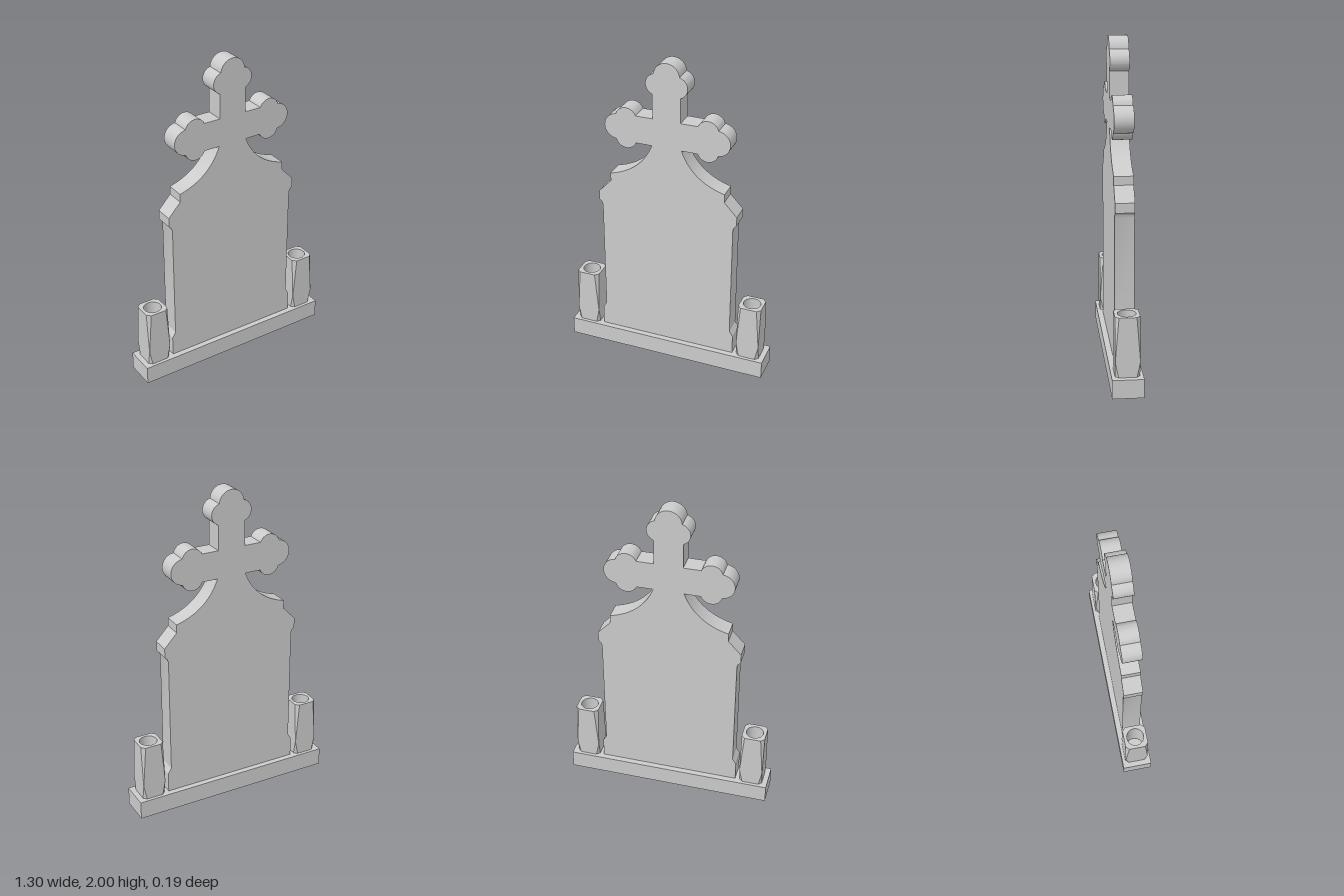
import * as THREE from 'three';
import { toCreasedNormals } from 'three/addons/utils/BufferGeometryUtils.js';

const BASE_H = 0.115;
const stone = new THREE.MeshStandardMaterial({ color: 0xcccccc });
const stoneInside = new THREE.MeshStandardMaterial({ color: 0xcccccc, side: THREE.BackSide });

function part(name, geometry, parent, material = stone) {
  const mesh = new THREE.Mesh(geometry, material);
  mesh.name = name;
  parent.add(mesh);
  return mesh;
}

// Points of an arc from angle a to angle b
function arc(cx, cy, r, a, b, n = 18) {
  return Array.from({ length: n + 1 }, (_, i) => {
    const t = a + (b - a) * i / n;
    return new THREE.Vector2(cx + r * Math.cos(t), cy + r * Math.sin(t));
  });
}

// Three-lobed end of a cross arm, pointing along +x, turned and moved to the crossing
function trefoil(along, turn) {
  const root = Math.atan2(0.024, -0.0615), join = Math.atan2(0.0167, 0.064);
  const tip = Math.atan2(0.0797, 0.007);
  return [
    ...arc(along, -0.063, 0.066, -root, -join),
    ...arc(along + 0.057, 0, 0.08, -tip, tip).slice(1, -1),
    ...arc(along, 0.063, 0.066, join, root),
  ].map(p => p.rotateAround(new THREE.Vector2(), turn).add(new THREE.Vector2(0, 1.56)));
}

// Outline of the stone: right edge, three arms, mirrored left edge
function slabGeometry() {
  const V = (x, y) => new THREE.Vector2(x, y);
  const right = [
    V(0.443, BASE_H), V(0.443, 0.24), V(0.421, 0.275), V(0.421, 1.01),
    V(0.428, 1.03), V(0.443, 1.045), V(0.443, 1.103), V(0.363, 1.188),
    ...new THREE.CubicBezierCurve(V(0.363, 1.24), V(0.22, 1.275), V(0.135, 1.36), V(0.093, 1.473)).getPoints(20),
  ];
  const left = right.map(p => V(-p.x, p.y)).reverse();
  const outline = [
    ...right, ...trefoil(0.254, 0), V(0.087, 1.647),
    ...trefoil(0.303, Math.PI / 2), V(-0.087, 1.647),
    ...trefoil(0.254, Math.PI), ...left,
  ];
  const geo = new THREE.ExtrudeGeometry(new THREE.Shape(outline), { depth: 0.115, bevelEnabled: false });
  geo.translate(0, 0, -0.0575);
  return toCreasedNormals(geo, 0.4);
}

// Square with cut corners, as eight points
function cutSquare(h, c) {
  const k = h - c;
  return [[h, -k], [h, k], [k, h], [-k, h], [-h, k], [-h, -k], [-k, -h], [k, -h]];
}

// Square vase whose corner cuts taper to a point low on the body
function vase() {
  const group = new THREE.Group(), H = 0.073, top = 0.48, R = 0.054, depth = 0.25;
  const rings = [[BASE_H, 0.02], [0.21, 0.0005], [top, 0.022]];
  const pos = [], idx = [];
  for (const [y, c] of rings) for (const [x, z] of cutSquare(H, c)) pos.push(x, y, z);
  for (let r = 0; r < rings.length - 1; r++) {
    for (let i = 0; i < 8; i++) {
      const a = r * 8 + i, b = r * 8 + (i + 1) % 8;
      idx.push(a, a + 8, b, b, a + 8, b + 8);
    }
  }
  let body = new THREE.BufferGeometry();
  body.setAttribute('position', new THREE.Float32BufferAttribute(pos, 3));
  body.setIndex(idx);
  body = body.toNonIndexed();
  body.computeVertexNormals();
  part('vaseBody', body, group);

  // Rim with a round opening, and the bore below it
  const rim = new THREE.Shape(cutSquare(H, 0.022).map(([x, y]) => new THREE.Vector2(x, y)));
  rim.holes.push(new THREE.Path().absarc(0, 0, R, 0, Math.PI * 2, true));
  part('vaseRim', new THREE.ShapeGeometry(rim, 16).rotateX(-Math.PI / 2), group).position.y = top;
  part('vaseBore', new THREE.CylinderGeometry(R, R, depth, 32, 1, true), group, stoneInside).position.y = top - depth / 2;
  part('vaseFloor', new THREE.CircleGeometry(R, 32).rotateX(-Math.PI / 2), group).position.y = top - depth;
  return group;
}

export function createModel() {
  const model = new THREE.Group();
  model.name = 'gravestone';

  part('base', new THREE.BoxGeometry(1.3, BASE_H, 0.186), model).position.y = BASE_H / 2;
  part('headstone', slabGeometry(), model);

  for (const side of [1, -1]) {
    const v = vase();
    v.name = side > 0 ? 'leftVase' : 'rightVase';
    v.position.x = side * 0.544;
    model.add(v);
  }
  return model;
}
